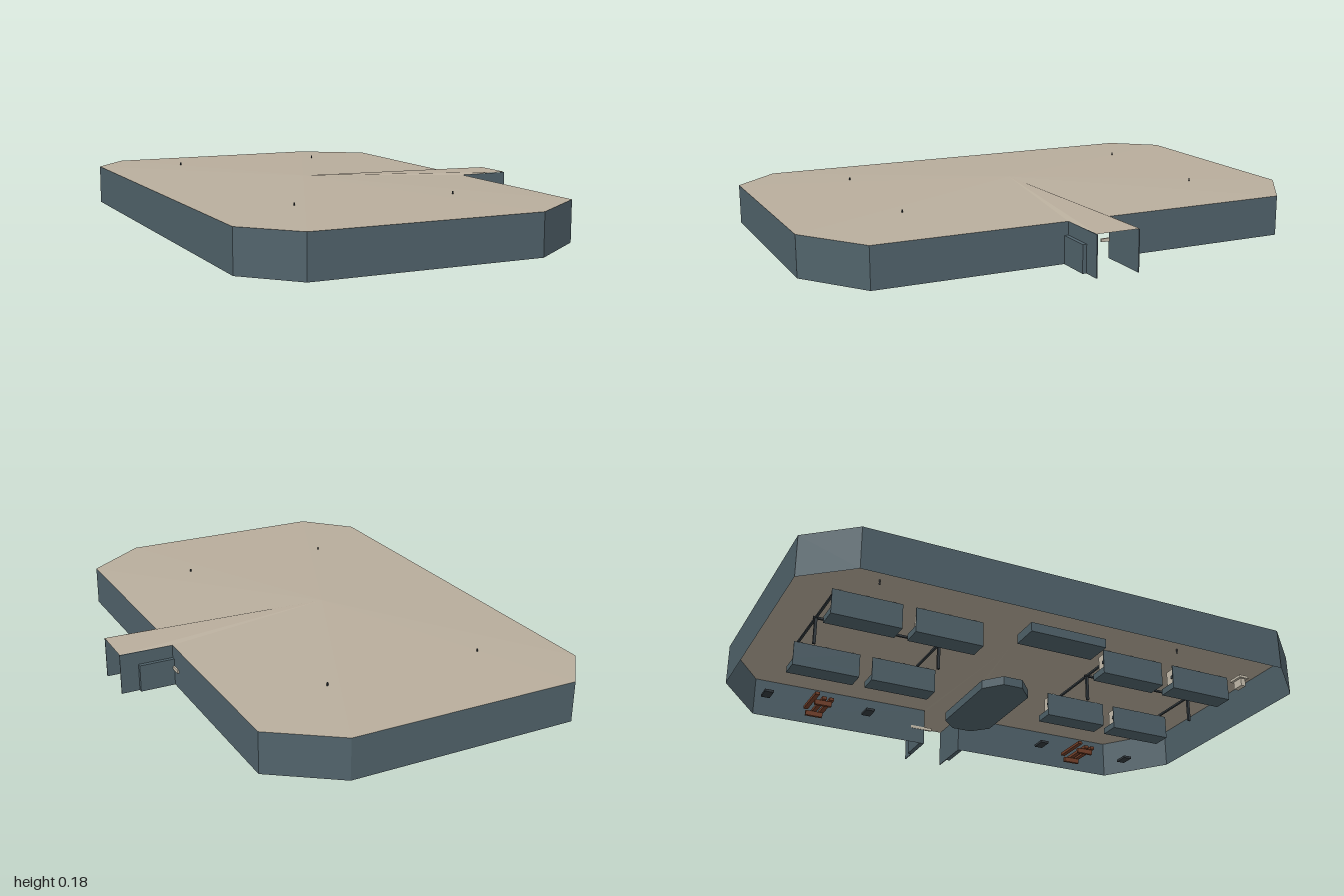
import * as THREE from 'three';

const mat = (name, color, side = THREE.FrontSide) => {
  const m = new THREE.MeshStandardMaterial({ color, side });
  m.name = name;
  return m;
};

export function createModel() {
  const group = new THREE.Group();
  const roofMat = mat('beigeRoof', 0xb8ad9c, THREE.DoubleSide);
  const wallMat = mat('slateWall', 0x51636b, THREE.DoubleSide);
  const panelMat = mat('palePanel', 0xc9c1b0);
  const steelMat = mat('darkSteel', 0x343b40);
  const woodMat = mat('redWood', 0x74402a);

  const add = (name, geometry, material) => {
    const mesh = new THREE.Mesh(geometry, material);
    mesh.name = name;
    group.add(mesh);
    return mesh;
  };
  // Box given by its centre in x and z, its base height and its size
  const box = (name, material, x, y, z, w, h, d) =>
    add(name, new THREE.BoxGeometry(w, h, d), material).position.set(x, y + h / 2, z);
  // Flat triangles from a list of corner points
  const faces = (name, points, material) => {
    const g = new THREE.BufferGeometry();
    g.setAttribute('position', new THREE.Float32BufferAttribute(points.flat(), 3));
    g.computeVertexNormals();
    return add(name, g, material);
  };

  const eave = 0.155, half = 0.085, side = 0.535, end = 0.74;
  const apex = [-0.14, 0.181, 0];
  // Plan from one doorway jamb around the building to the other
  const plan = [
    [side, -half], [side, -0.83], [0.29, -1], [-0.6, -1], [-0.74, -0.83],
    [-0.74, 0.82], [-0.57, 1], [0.29, 1], [side, 0.82], [side, half],
  ];

  // Outer walls and the faceted roof
  const walls = [], roof = [];
  for (let i = 0; i < plan.length - 1; i++) {
    const [ax, az] = plan[i], [bx, bz] = plan[i + 1];
    const a = [ax, 0, az], b = [bx, 0, bz], c = [bx, eave, bz], d = [ax, eave, az];
    walls.push(b, a, d, b, d, c);
    roof.push(apex, d, c);
  }
  faces('outerWalls', walls, wallMat);

  // Entrance canopy: a tapering ridge that runs out past the wall
  const endL = [end, eave + 0.002, half], endR = [end, eave + 0.002, -half];
  roof.push(apex, endL, endR);
  roof.push(apex, [side, eave, half], endL);
  roof.push(apex, endR, [side, eave, -half]);
  faces('roof', roof, roofMat);

  for (const s of [-1, 1]) {
    box('entranceWall', wallMat, (side + end) / 2, 0, s * (half - 0.002), end - side, eave, 0.004);
    box('entranceSideBox', wallMat, 0.6025, 0, s * 0.0925, 0.135, 0.105, 0.015);
  }
  box('entranceBar', panelMat, 0.537, 0.064, -0.095, 0.008, 0.012, 0.095);

  // Rods that pierce the roof
  for (const x of [-0.43, 0.19]) {
    for (const z of [-0.655, 0.58]) {
      const rod = add('roofRod', new THREE.CylinderGeometry(0.003, 0.003, 0.03, 6), steelMat);
      rod.position.set(x, 0.16, z);
    }
  }

  // Central counter with cut corners
  const counter = new THREE.Shape([
    [-0.16, -0.04], [-0.09, -0.1], [0.26, -0.1], [0.32, -0.04],
    [0.32, 0.04], [0.26, 0.1], [-0.09, 0.1], [-0.16, 0.04],
  ].map(([x, z]) => new THREE.Vector2(x, z)));
  const counterGeo = new THREE.ExtrudeGeometry(counter, { depth: 0.035, bevelEnabled: false });
  counterGeo.rotateX(-Math.PI / 2);
  add('centralCounter', counterGeo, wallMat);
  box('backCounter', wallMat, -0.545, 0, 0, 0.11, 0.035, 0.3);

  // Rows of booths, with poles and beams between them
  for (const s of [-1, 1]) {
    for (const x of [0.06, -0.38]) {
      for (const start of [0.25, 0.56]) {
        box('boothBase', wallMat, x, 0, s * (start + 0.13), 0.08, 0.025, 0.26);
        box('boothBack', wallMat, x - 0.038, 0.025, s * (start + 0.13), 0.004, 0.07, 0.26);
        for (let i = 0; i < 3; i++) {
          const z = s * (start + 0.03 + i * 0.1);
          box('boothPanel', panelMat, x, 0.025, z, 0.07, 0.075, 0.012);
          box('boothScreen', steelMat, x, 0.06, z - 0.007, 0.012, 0.012, 0.004);
        }
      }
    }
    for (const z of [0.32, 0.8]) {
      box('pole', steelMat, -0.175, 0, s * z, 0.01, 0.1, 0.01);
      box('crossBeam', steelMat, -0.16, 0.1, s * z, 0.4, 0.008, 0.008);
    }
    box('longBeam', steelMat, -0.175, 0.1, s * 0.56, 0.008, 0.008, 0.5);

    // Slatted benches and small tables
    for (const dz of [-0.03, 0, 0.03]) {
      box('benchSlat', woodMat, 0.395, dz < 0 ? 0.035 : 0.02, s * 0.6 + dz, 0.16, 0.012, 0.018);
    }
    for (const dx of [-0.06, 0.06]) {
      box('benchLeg', woodMat, 0.395 + dx, 0, s * 0.6, 0.012, 0.02, 0.07);
    }
    box('smallTable', steelMat, 0.36, 0.015, s * 0.4, 0.06, 0.01, 0.035);
    box('smallTable', steelMat, 0.36, 0.015, s * 0.82, 0.06, 0.01, 0.035);
  }

  // Small stand in the corner
  box('cornerStand', panelMat, -0.53, 0, 0.79, 0.045, 0.03, 0.02);
  box('cornerStandTop', panelMat, -0.53, 0.03, 0.79, 0.06, 0.01, 0.04);

  return group;
}
